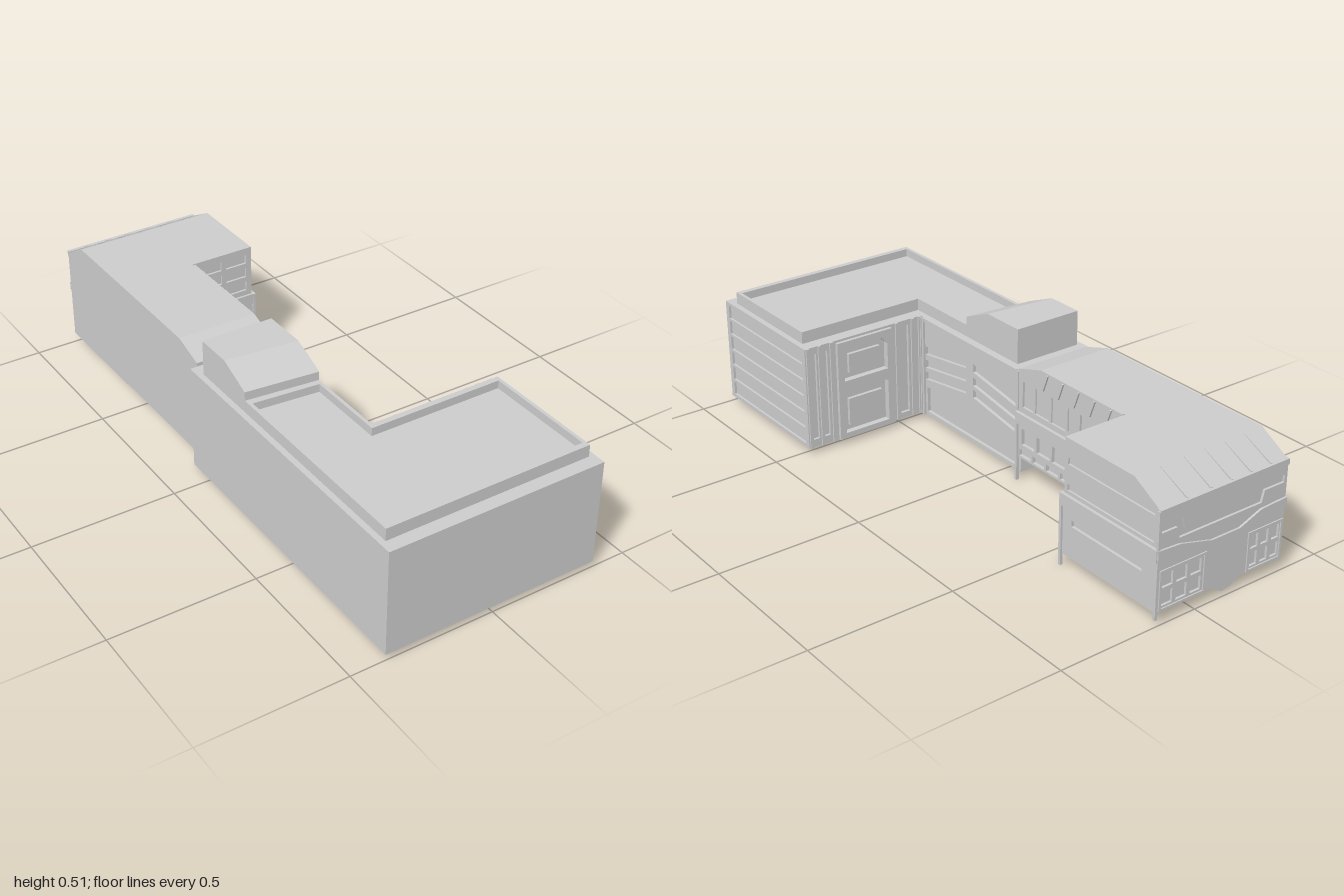
import * as THREE from 'three';

const mat = new THREE.MeshStandardMaterial({ color: 0xcccccc, flatShading: true });

const toShape = (pts, holes = []) => {
  const s = new THREE.Shape(pts.map(p => new THREE.Vector2(...p)));
  s.holes = holes.map(h => new THREE.Path(h.map(p => new THREE.Vector2(...p))));
  return s;
};
const rect = (u0, v0, u1, v1) => [[u0, v0], [u1, v0], [u1, v1], [u0, v1]];

function add(parent, name, geo) {
  const m = new THREE.Mesh(geo, mat);
  m.name = name;
  parent.add(m);
  return m;
}
// Plate in the parent's local plane, thick along local +z, with real openings
function plate(parent, name, pts, depth, holes = [], w = 0) {
  const m = add(parent, name, new THREE.ExtrudeGeometry(toShape(pts, holes), { depth, bevelEnabled: false }));
  m.position.z = w;
  return m;
}
const bar = (parent, name, u0, v0, u1, v1, d, w = 0) => plate(parent, name, rect(u0, v0, u1, v1), d, [], w);

// Horizontal slab from a plan outline [x, z]
function slab(parent, name, plan, y0, y1, holes = []) {
  const flip = l => l.map(([x, z]) => [x, -z]);
  const geo = new THREE.ExtrudeGeometry(toShape(flip(plan), holes.map(flip)), { depth: y1 - y0, bevelEnabled: false });
  geo.rotateX(-Math.PI / 2).translate(0, y0, 0);
  return add(parent, name, geo);
}
// Profile [z, y] swept from x0 to x1
function sweepX(parent, name, profile, x0, x1, rule) {
  const geo = new THREE.ExtrudeGeometry(toShape(profile.map(([z, y]) => [-z, y])), { depth: x1 - x0, bevelEnabled: false });
  geo.rotateY(Math.PI / 2).translate(x0, 0, 0);
  if (rule) {
    const p = geo.attributes.position;
    for (let i = 0; i < p.count; i++) p.setXYZ(i, ...rule(p.getX(i), p.getY(i), p.getZ(i)));
    geo.computeVertexNormals();
  }
  return add(parent, name, geo);
}
function box(parent, name, x0, x1, y0, y1, z0, z1) {
  const m = add(parent, name, new THREE.BoxGeometry(x1 - x0, y1 - y0, z1 - z0));
  m.position.set((x0 + x1) / 2, (y0 + y1) / 2, (z0 + z1) / 2);
  return m;
}
function facade(parent, name, x, z, turn) {
  const g = new THREE.Group();
  g.name = name;
  g.position.set(x, 0, z);
  g.rotation.y = turn;
  parent.add(g);
  return g;
}
// Grid of rectangular openings
function grid(u0, v0, u1, v1, cols, rows, gap) {
  const out = [], w = (u1 - u0) / cols, h = (v1 - v0) / rows;
  for (let i = 0; i < cols; i++) for (let j = 0; j < rows; j++)
    out.push(rect(u0 + i * w + gap, v0 + j * h + gap, u0 + (i + 1) * w - gap, v0 + (j + 1) * h - gap));
  return out;
}

function frontBuilding(root) {
  const g = new THREE.Group();
  g.name = 'frontBuilding';
  root.add(g);
  slab(g, 'frontBody', [[-0.38, 1], [0.372, 1], [0.372, 0.49], [-0.10, 0.49], [-0.10, -0.08], [-0.38, -0.08]], 0.02, 0.388);

  // Roof edge wall and sunken roof
  const rim = [[-0.36, 0.955], [0.36, 0.955], [0.36, 0.525], [-0.11, 0.525], [-0.11, -0.03], [-0.36, -0.03]];
  const inner = [[-0.348, 0.935], [0.348, 0.935], [0.348, 0.545], [-0.122, 0.545], [-0.122, 0.265], [-0.348, 0.245]];
  slab(g, 'parapet', rim, 0.388, 0.43, [inner]);
  slab(g, 'sunkenRoof', inner, 0.385, 0.402);
  sweepX(g, 'roofHut', [[0.245, 0.40], [0.245, 0.46], [0.128, 0.51], [-0.03, 0.51], [-0.03, 0.40]], -0.36, -0.11,
    (x, y, z) => [x, y, z > 0 ? z + 0.1 * (x + 0.11) : z]);

  // End wall with horizontal bands
  const end = facade(g, 'bandedWall', 0.372, 0, Math.PI / 2);
  plate(end, 'bands', rect(-1, 0.02, -0.48, 0.388), 0.008, grid(-0.985, 0.028, -0.495, 0.382, 1, 6, 0.005));

  // Courtyard wall of the wing, with slanted rails meeting at a peak
  const wing = facade(g, 'wingWall', -0.10, 0, Math.PI / 2);
  const lean = (z0, y0, z1, y1, h) => [[-z0, y0], [-z1, y1], [-z1, y1 + h], [-z0, y0 + h]];
  const slots = [[[-0.445, 0.035], [0.06, 0.035], [0.06, 0.125], [-0.2, 0.162], [-0.445, 0.128]]];
  for (const y of [0.155, 0.20, 0.25]) {
    slots.push(lean(0.46, y, 0.22, y + 0.036, 0.03));
    slots.push(lean(0.18, y + 0.036, -0.05, y, 0.03));
  }
  plate(wing, 'slantedRails', rect(-0.48, 0.02, 0.08, 0.388), 0.012, slots);
  bar(wing, 'wingTopRail', -0.46, 0.375, 0.06, 0.388, 0.018);
  for (const u of [-0.478, -0.464, 0.062]) bar(wing, 'wingPilaster', u, 0.02, u + 0.009, 0.385, 0.02);

  // Courtyard wall of the main block, with a framed entrance
  const yard = facade(g, 'yardWall', 0, 0.49, Math.PI);
  plate(yard, 'yardSkin', rect(-0.38, 0.02, 0.10, 0.388), 0.01, [
    rect(-0.235, 0.04, -0.055, 0.36),
    ...grid(-0.372, 0.04, -0.285, 0.37, 2, 1, 0.008), rect(0.0, 0.04, 0.035, 0.37)]);
  plate(yard, 'entranceFrame', rect(-0.26, 0.02, -0.04, 0.38), 0.022, [
    [[-0.235, 0.235], [-0.06, 0.235], [-0.06, 0.33], [-0.085, 0.355], [-0.21, 0.355], [-0.235, 0.33]],
    [[-0.235, 0.04], [-0.06, 0.04], [-0.06, 0.19], [-0.09, 0.205], [-0.115, 0.185], [-0.18, 0.185], [-0.205, 0.205], [-0.235, 0.19]]]);
  bar(yard, 'entrancePanel', -0.215, 0.06, -0.08, 0.16, 0.012);
  bar(yard, 'upperPanel', -0.21, 0.255, -0.085, 0.325, 0.012);
  for (const u of [-0.376, -0.33, -0.284, -0.02, 0.045, 0.075]) bar(yard, 'yardPilaster', u, 0.02, u + 0.012, 0.388, 0.016);
}

function rearBuilding(root) {
  const g = new THREE.Group();
  g.name = 'rearBuilding';
  root.add(g);
  // Link wing with a tilted underside, then the rear block
  sweepX(g, 'linkBody', [[-0.08, 0.06], [-0.08, 0.40], [-0.19, 0.435], [-0.59, 0.435], [-0.59, 0.06]], -0.355, -0.085,
    (x, y, z) => [x, y < 0.1 ? (x > -0.2 ? 0.085 : 0.045) : y, z]);
  sweepX(g, 'rearBody', [[-0.588, 0.04], [-0.588, 0.435], [-0.88, 0.435], [-0.985, 0.375], [-0.985, 0.04]], -0.355, 0.14);

  // Courtyard wall of the link
  const link = facade(g, 'linkWall', -0.085, 0, Math.PI / 2);
  plate(link, 'linkUpper', [[0.08, 0.25], [0.575, 0.25], [0.575, 0.435], [0.19, 0.435], [0.08, 0.40]], 0.008,
    [[[0.10, 0.27], [0.32, 0.27], [0.355, 0.30], [0.355, 0.335], [0.32, 0.362], [0.10, 0.362]],
      ...grid(0.375, 0.265, 0.565, 0.365, 2, 1, 0.008)]);
  for (let u = 0.15; u < 0.32; u += 0.08) bar(link, 'windowDivider', u, 0.27, u + 0.012, 0.362, 0.006);
  for (let u = 0.2; u < 0.55; u += 0.075)
    plate(link, 'slantedRib', [[u, 0.37], [u + 0.008, 0.37], [u + 0.03, 0.43], [u + 0.022, 0.43]], 0.014);
  bar(link, 'linkCornice', 0.08, 0.21, 0.575, 0.25, 0.02);
  plate(link, 'linkLower', rect(0.08, 0.085, 0.575, 0.21), 0.012,
    [...grid(0.095, 0.13, 0.56, 0.20, 6, 1, 0.006), ...grid(0.085, 0.088, 0.57, 0.122, 7, 1, 0.005)]);

  // Courtyard wall of the rear block
  const inner = facade(g, 'innerWall', 0, -0.588, 0);
  plate(inner, 'innerUpper', rect(-0.085, 0.25, 0.145, 0.435), 0.008, grid(-0.06, 0.26, 0.135, 0.42, 2, 3, 0.009));
  bar(inner, 'innerCornice', -0.085, 0.21, 0.155, 0.25, 0.016);
  plate(inner, 'innerLower', rect(-0.085, 0.04, 0.15, 0.21), 0.01, grid(-0.055, 0.055, 0.135, 0.205, 2, 2, 0.009));

  // Outer side of the rear block
  const side = facade(g, 'sideWall', 0.14, 0, Math.PI / 2);
  plate(side, 'sideUpper', [[0.58, 0.25], [0.99, 0.25], [0.99, 0.375], [0.88, 0.435], [0.58, 0.435]], 0.007,
    [rect(0.595, 0.262, 0.97, 0.283), rect(0.595, 0.35, 0.97, 0.372)]);
  bar(side, 'sideCornice', 0.575, 0.21, 0.995, 0.25, 0.018);
  plate(side, 'sideLower', rect(0.58, 0.04, 0.99, 0.21), 0.01, [rect(0.62, 0.15, 0.93, 0.172)]);

  // Back wall: stepped frieze, dipping cornice, paned windows and hanging point
  const back = facade(g, 'backWall', 0, -0.985, Math.PI);
  plate(back, 'backUpper', rect(-0.15, 0.235, 0.355, 0.375), 0.008, [
    [[-0.14, 0.325], [-0.06, 0.325], [-0.05, 0.285], [0.235, 0.285], [0.245, 0.325], [0.345, 0.325],
      [0.345, 0.30], [0.265, 0.30], [0.255, 0.262], [-0.07, 0.262], [-0.08, 0.30], [-0.14, 0.30]]]);
  bar(back, 'backTopRail', -0.15, 0.358, 0.355, 0.378, 0.013);
  plate(back, 'dippingCornice', [[-0.155, 0.22], [-0.08, 0.215], [0.05, 0.18], [0.17, 0.18], [0.26, 0.215], [0.355, 0.22],
    [0.355, 0.25], [0.25, 0.245], [0.165, 0.212], [0.055, 0.212], [-0.07, 0.245], [-0.155, 0.25]], 0.015);
  plate(back, 'backLower', [[-0.15, 0.04], [0.065, 0.04], [0.115, 0.013], [0.15, 0.02], [0.185, 0.04], [0.355, 0.04],
    [0.355, 0.235], [-0.15, 0.235]], 0.008, [
    ...grid(-0.135, 0.05, 0.03, 0.17, 3, 2, 0.007), ...grid(0.215, 0.05, 0.345, 0.17, 3, 2, 0.007)]);
  for (const [a, b] of [[-0.14, 0.04], [0.208, 0.35]])
    plate(back, 'windowFrame', rect(a, 0.042, b, 0.178), 0.012, [rect(a + 0.008, 0.05, b - 0.008, 0.17)]);

  // Ribs on the rear roof slope
  for (const x of [-0.285, -0.205, -0.127, -0.047, 0.045])
    sweepX(g, 'roofRib', [[-0.88, 0.428], [-0.88, 0.437], [-0.988, 0.380], [-0.988, 0.368]], x - 0.003, x + 0.003,
      (px, y, z) => [px + (z < -0.9 ? -0.004 : 0.004), y, z]);

  // Corner posts reaching below the walls
  box(g, 'cornerPost', 0.147, 0.157, 0, 0.25, -0.58, -0.57);
  box(g, 'cornerPost', -0.077, -0.065, 0, 0.25, -0.085, -0.075);
  box(g, 'cornerPost', 0.146, 0.155, 0.02, 0.375, -0.998, -0.988);
}

export function createModel() {
  const root = new THREE.Group();
  root.name = 'buildingComplex';
  frontBuilding(root);
  rearBuilding(root);
  return root;
}
